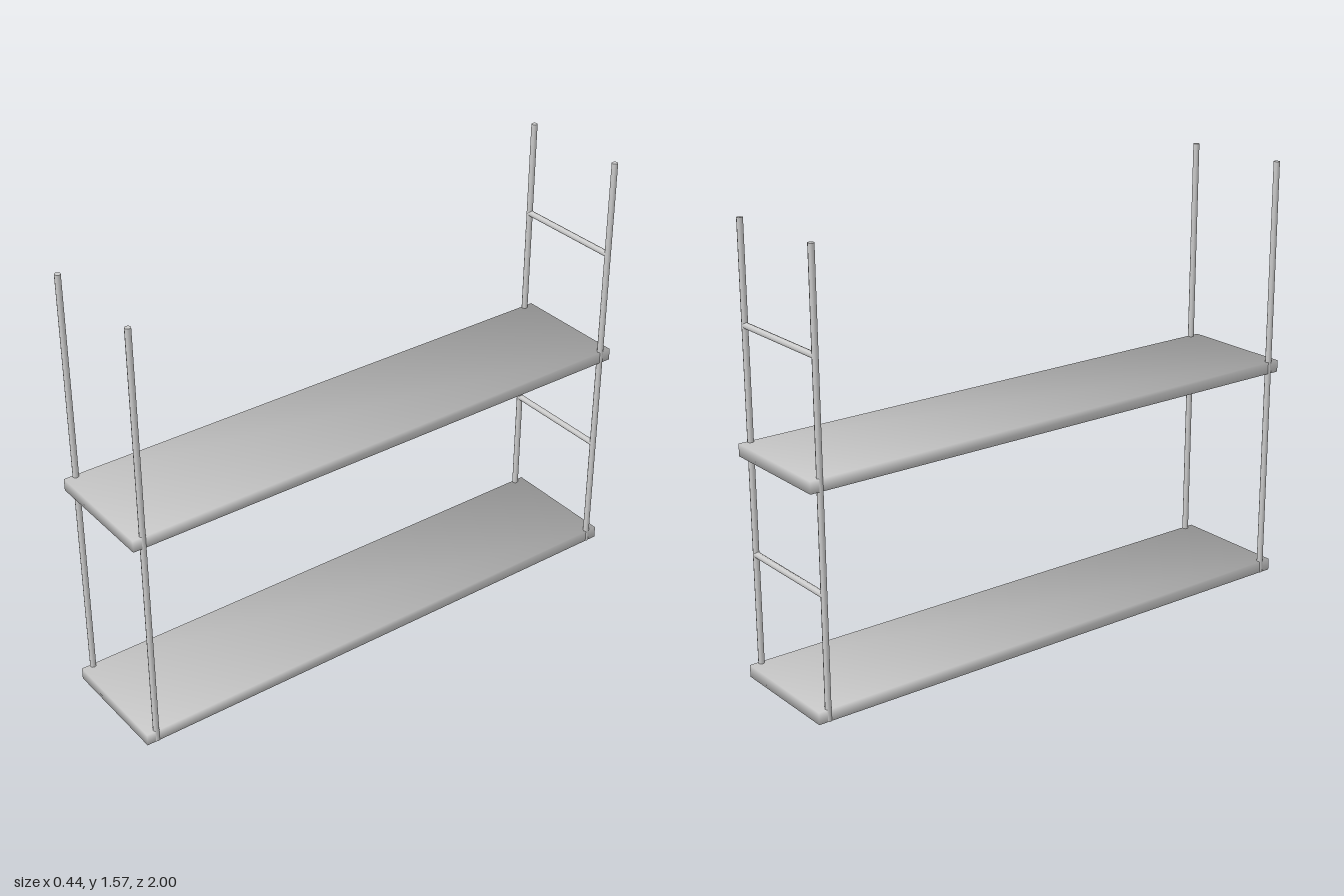
import * as THREE from 'three';
import { mergeVertices } from 'three/addons/utils/BufferGeometryUtils.js';

const material = new THREE.MeshStandardMaterial({ color: 0xcccccc });

// Box whose corners share one averaged normal, for soft shading across the edges
function softBox(w, h, d) {
  let geo = new THREE.BoxGeometry(w, h, d);
  geo.deleteAttribute('normal');
  geo.deleteAttribute('uv');
  geo = mergeVertices(geo);
  const p = geo.attributes.position;
  const normals = [];
  for (let i = 0; i < p.count; i++) {
    const n = new THREE.Vector3(Math.sign(p.getX(i)), Math.sign(p.getY(i)), Math.sign(p.getZ(i))).normalize();
    normals.push(n.x, n.y, n.z);
  }
  geo.setAttribute('normal', new THREE.Float32BufferAttribute(normals, 3));
  return geo;
}

export function createModel() {
  const model = new THREE.Group();
  model.name = 'shelfUnit';

  const add = (name, geo, x, y, z) => {
    const mesh = new THREE.Mesh(geo, material);
    mesh.name = name;
    mesh.position.set(x, y, z);
    model.add(mesh);
    return mesh;
  };

  const postX = 0.207, postZ = 0.96, radius = 0.011, height = 1.568;

  // Two long shelf boards
  const board = softBox(0.43, 0.043, 2);
  add('lowerShelf', board, 0, 0.0215, 0);
  add('upperShelf', board, 0, 0.808, 0);

  // Four slim corner posts
  const post = new THREE.CylinderGeometry(radius, radius, height, 8);
  for (const [side, sx] of [['left', 1], ['right', -1]]) {
    for (const [end, sz] of [['Front', 1], ['Back', -1]]) {
      add(`${side}${end}Post`, post, sx * postX, height / 2, sz * postZ);
    }
  }

  // Rungs joining the two back posts
  const rung = new THREE.CylinderGeometry(radius, radius, postX * 2, 8).rotateZ(Math.PI / 2);
  add('lowerRung', rung, 0, 0.437, -postZ);
  add('upperRung', rung, 0, 1.22, -postZ);

  return model;
}
